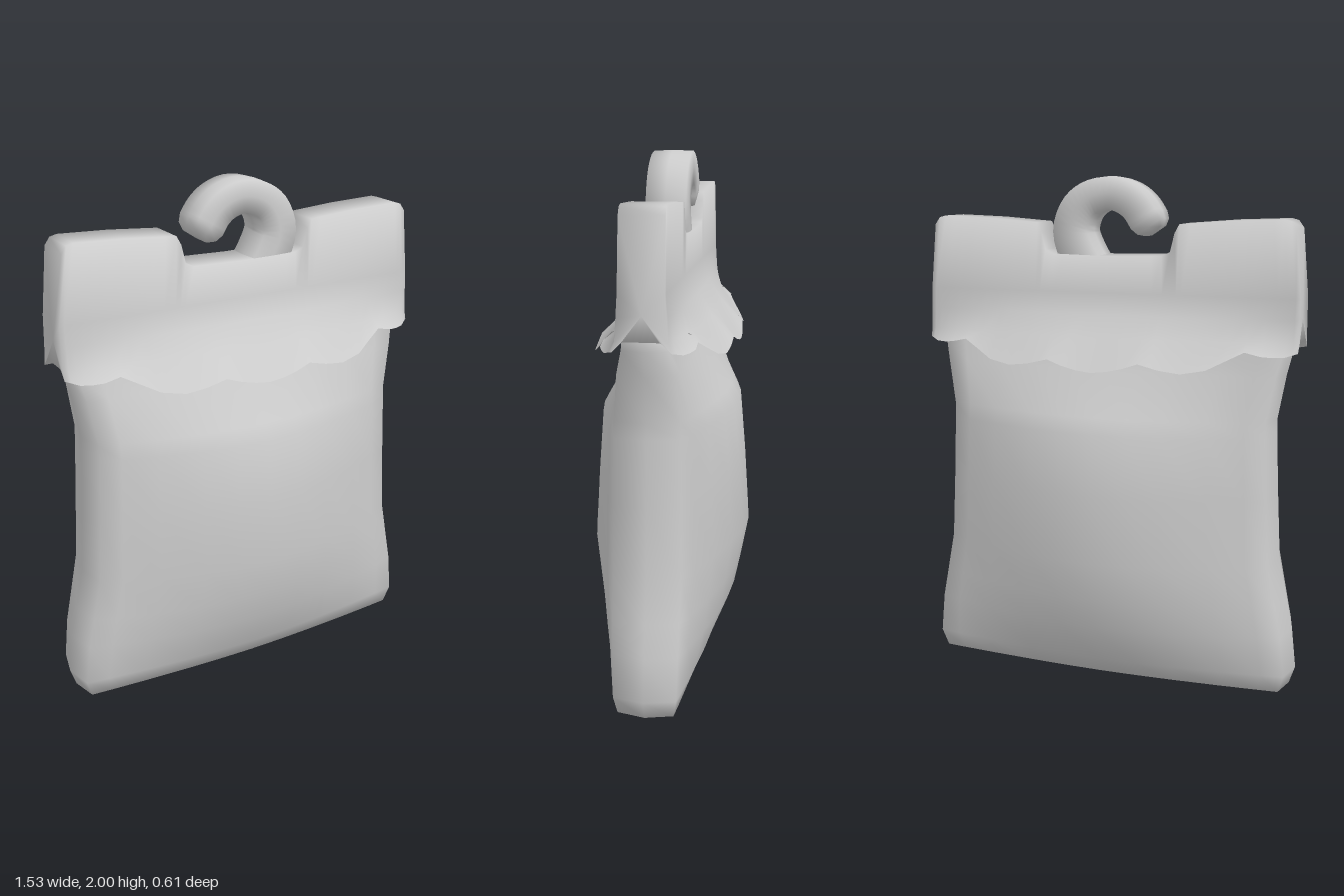
import * as THREE from 'three';
import { toCreasedNormals } from 'three/addons/utils/BufferGeometryUtils.js';

// Skin a list of closed rings (counter-clockwise about the direction of travel), capped at both ends
function loft(rings) {
  const n = rings[0].length, pos = rings.flat(2), idx = [];
  rings.slice(1).forEach((_, i) => {
    for (let j = 0; j < n; j++) {
      const a = i * n + j, b = i * n + (j + 1) % n;
      idx.push(a, b, a + n, b, b + n, a + n);
    }
  });
  [0, rings.length - 1].forEach((r, end) => {
    const c = pos.length / 3;
    for (let k = 0; k < 3; k++) pos.push(rings[r].reduce((s, p) => s + p[k], 0) / n);
    for (let j = 0; j < n; j++) {
      const a = r * n + j, b = r * n + (j + 1) % n;
      if (end) idx.push(c, a, b); else idx.push(c, b, a);
    }
  });
  const g = new THREE.BufferGeometry();
  g.setAttribute('position', new THREE.Float32BufferAttribute(pos, 3));
  g.setIndex(idx);
  return toCreasedNormals(g, 1.7);
}

// Linear lookup of column k in a table sorted by its first column
function lookup(table, x, k) {
  let i = 1;
  while (i < table.length - 1 && table[i][0] < x) i++;
  const [a, b] = [table[i - 1], table[i]];
  return THREE.MathUtils.mapLinear(Math.min(x, b[0]), a[0], b[0], a[k], b[k]);
}

// Pillow-shaped bag: height, half width, centre depth, edge depth
function bagGeometry() {
  const levels = [
    [0, 0.69, 0.02, 0.02], [0.03, 0.74, 0.14, 0.1], [0.1, 0.763, 0.18, 0.11], [0.26, 0.745, 0.25, 0.11],
    [0.38, 0.72, 0.275, 0.11], [0.54, 0.687, 0.305, 0.11], [0.8, 0.672, 0.287, 0.11], [1.04, 0.661, 0.265, 0.11],
    [1.1, 0.66, 0.23, 0.11], [1.27, 0.69, 0.125, 0.1], [1.36, 0.712, 0.085, 0.08], [1.45, 0.715, 0.075, 0.07],
  ];
  const us = [0.965, 0.85, 0.65, 0.4, 0.2, 0, -0.2, -0.4, -0.65, -0.85, -0.965];
  return loft(levels.map(([y, w, d, e]) => {
    const side = us.map(u => [u * w, y, e + (d - e) * (1 - Math.abs(u) ** 1.7)]);
    return [[w, y, 0], ...side.map(([x, , z]) => [x, y, -z]), [-w, y, 0], ...side.reverse()];
  }));
}

// Flat header with a notch in its top, flaring into a scalloped skirt
function headerGeometry() {
  const top = [[0, 1.7], [0.22, 1.705], [0.255, 1.72], [0.275, 1.79], [0.295, 1.823],
    [0.5, 1.838], [0.7, 1.845], [0.727, 1.838], [0.745, 1.81]];
  const hem = [[0, 1.28, 0.265], [0.09, 1.29, 0.262], [0.18, 1.32, 0.252], [0.26, 1.3, 0.25], [0.34, 1.29, 0.243],
    [0.43, 1.305, 0.222], [0.5, 1.34, 0.19], [0.56, 1.37, 0.165], [0.62, 1.357, 0.165], [0.69, 1.35, 0.142],
    [0.745, 1.365, 0.1]];
  const half = [0, 0.06, 0.12, 0.18, 0.22, 0.255, 0.275, 0.295, 0.34, 0.39, 0.43, 0.5, 0.56, 0.62, 0.66, 0.7, 0.727, 0.745];
  const xs = [...half.slice(1).reverse().map(x => -x), ...half];
  return loft(xs.map(x => {
    const a = Math.abs(x), k = 1 - (a / 0.745) ** 2, t = lookup(top, a, 1);
    const hemY = lookup(hem, a, 1), hemZ = lookup(hem, a, 2);
    const front = [[t, 0.078], [1.56, 0.08], [1.48, 0.085 + 0.03 * k],
      [1.4, 0.09 + 0.085 * k], [hemY, hemZ], [hemY + 0.03, hemZ - 0.03], [1.4, 0.06]];
    const section = [...front, ...front.map(([y, z]) => [y, -z]).reverse()];
    // the ends lean in towards the top
    return section.map(([y, z]) => [x * (1 - 0.035 * THREE.MathUtils.clamp((y - 1.56) / 0.28, 0, 1)), y, z]);
  }));
}

// Curled hanging hook with a soft square section, rounded off at its free end
function hookGeometry() {
  const path = new THREE.CatmullRomCurve3([[0.06, 1.6], [0.12, 1.7], [0.15, 1.79], [0.125, 1.87], [0.075, 1.915],
    [0, 1.934], [-0.07, 1.915], [-0.115, 1.88], [-0.145, 1.835]].map(([x, y]) => new THREE.Vector3(x, y, 0)));
  const section = [[1, 0], [0.95, 0.95], [0, 1], [-0.95, 0.95], [-1, 0], [-0.95, -0.95], [0, -1], [0.95, -0.95]];
  const steps = 28, rings = [];
  const ring = (t, r, shift) => {
    const p = path.getPoint(t), d = path.getTangent(t);
    p.addScaledVector(d, shift);
    rings.push(section.map(([n, b]) => [p.x - d.y * n * r, p.y + d.x * n * r, b * Math.min(0.078, r * 1.2)]));
  };
  for (let i = 0; i <= steps; i++) ring(i / steps, 0.08 - 0.017 * Math.min(1, i / steps * 1.6), 0);
  ring(1, 0.055, 0.03);
  ring(1, 0.035, 0.05);
  return loft(rings);
}

export function createModel() {
  const grey = new THREE.MeshStandardMaterial({ color: 0xcccccc });
  grey.name = 'light grey';
  const group = new THREE.Group();
  group.name = 'hangingBag';
  const parts = { bag: bagGeometry(), scallopedHeader: headerGeometry(), hook: hookGeometry() };
  for (const [name, geometry] of Object.entries(parts)) {
    const mesh = new THREE.Mesh(geometry, grey);
    mesh.name = name;
    group.add(mesh);
  }
  return group;
}
